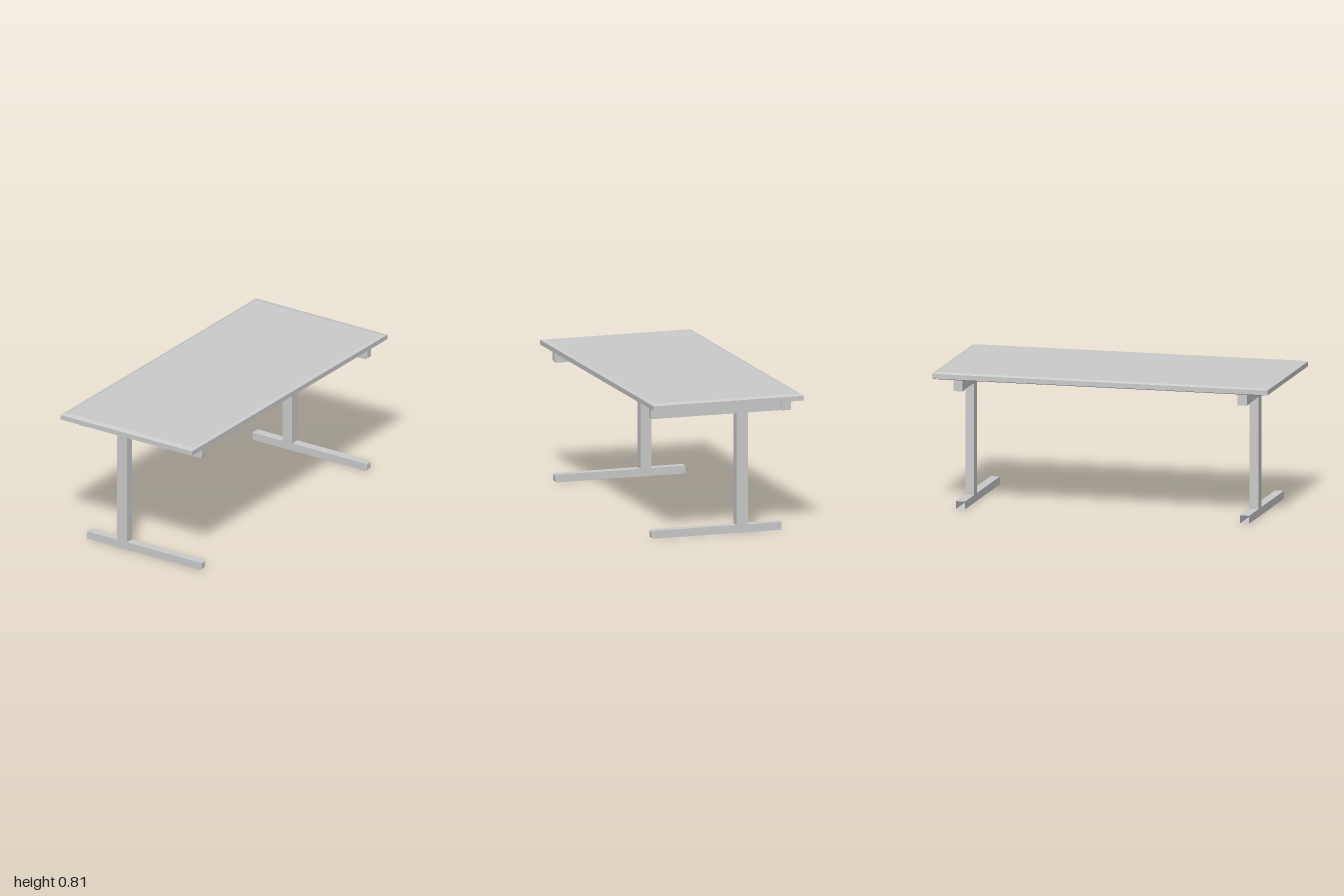
import * as THREE from 'three';

const grey = new THREE.MeshStandardMaterial({ color: 0xcccccc, flatShading: true });
const greyOpen = new THREE.MeshStandardMaterial({ color: 0xcccccc, flatShading: true, side: THREE.DoubleSide });

// Joins rectangular sections [y, halfX, halfZ] stacked upwards; the first end may stay open.
function loft(sections, openStart = false) {
  const rings = sections.map(([y, a, b]) => [[-a, y, b], [a, y, b], [a, y, -b], [-a, y, -b]]);
  const pos = [];
  const quad = (a, b, c, d) => [a, b, c, a, c, d].forEach((p) => pos.push(...p));
  for (let i = 0; i < rings.length - 1; i++) {
    for (let k = 0; k < 4; k++) {
      const n = (k + 1) % 4;
      quad(rings[i][k], rings[i][n], rings[i + 1][n], rings[i + 1][k]);
    }
  }
  if (!openStart) quad(...[...rings[0]].reverse());
  quad(...rings[rings.length - 1]);
  const geometry = new THREE.BufferGeometry();
  geometry.setAttribute('position', new THREE.Float32BufferAttribute(pos, 3));
  geometry.computeVertexNormals();
  return geometry;
}

function add(parent, name, geometry, x, y, z, material = grey) {
  const mesh = new THREE.Mesh(geometry, material);
  mesh.name = name;
  mesh.position.set(x, y, z);
  parent.add(mesh);
}

// Bar along x with a chamfered tip at +x
function bar(x0, x1, height, depth, chamfer, openStart) {
  const h = height / 2, d = depth / 2;
  return loft([[x0, h, d], [x1 - chamfer, h, d], [x1, h - chamfer, d - chamfer]], openStart)
    .rotateZ(-Math.PI / 2);
}

function createLeg(name, z) {
  const leg = new THREE.Group();
  leg.name = name;
  leg.position.z = z;
  const depth = 0.053;
  // foot is a tube, open at the back end
  add(leg, 'foot', bar(-0.364, 0.427, 0.046, depth, 0.007, true), 0, 0.023, 0, greyOpen);
  add(leg, 'post', new THREE.BoxGeometry(0.069, 0.66, depth), -0.1225, 0.375, 0);
  add(leg, 'topRail', bar(-0.364, 0.431, 0.068, depth, 0.009, false), 0, 0.738, 0);
  add(leg, 'railEndBlock', new THREE.BoxGeometry(0.056, 0.07, depth + 0.003), -0.392, 0.737, 0);
  return leg;
}

export function createModel() {
  const table = new THREE.Group();
  table.name = 'table';

  // top with shallow bevels on both faces
  add(table, 'tabletop', loft([
    [0.77, 0.437, 0.965],
    [0.777, 0.458, 1],
    [0.805, 0.458, 1],
    [0.812, 0.437, 0.965],
  ]), 0, 0, 0);

  table.add(createLeg('frontLeg', 0.839), createLeg('backLeg', -0.854));
  return table;
}
